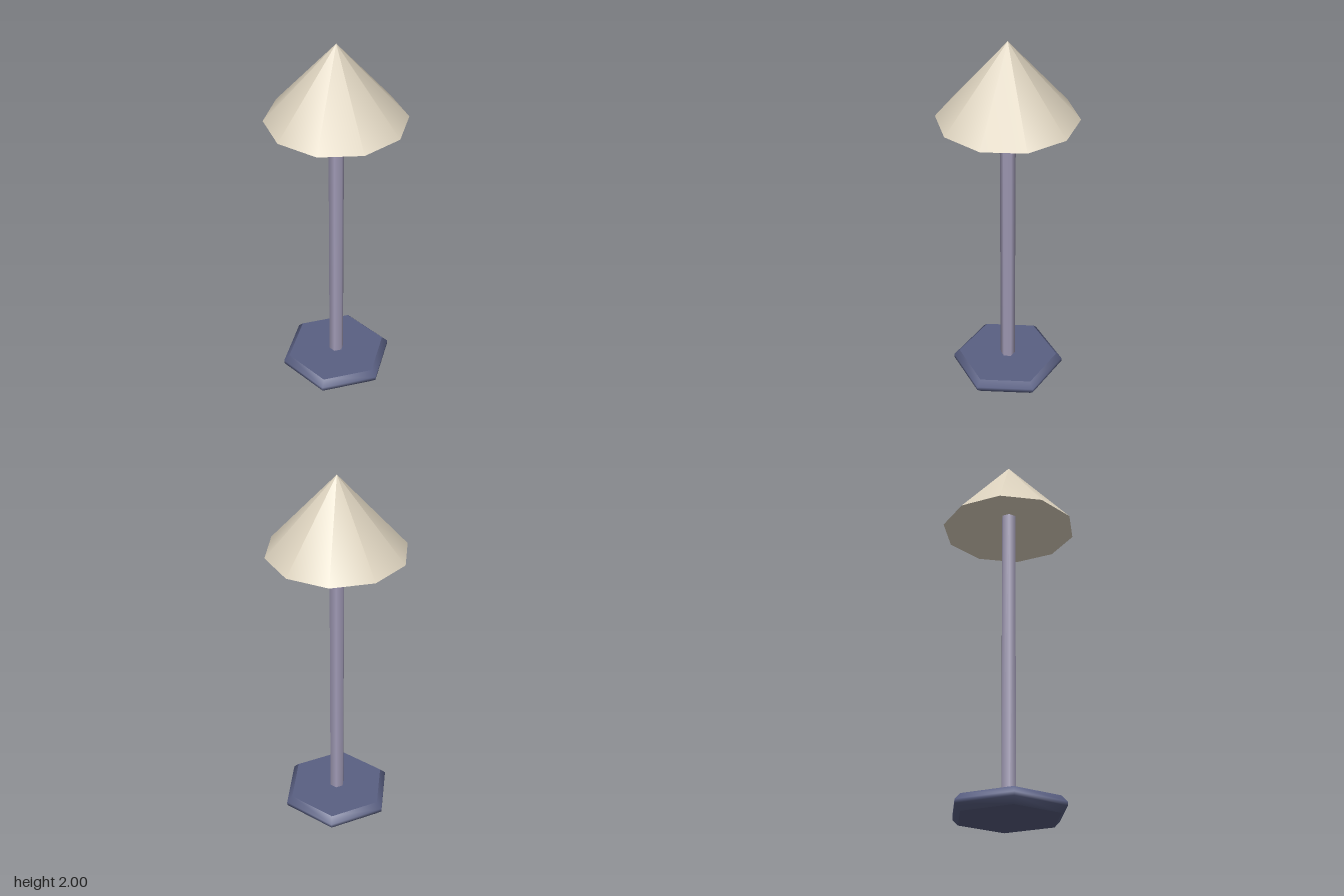
import * as THREE from 'three';

const mat = (name, color, side = THREE.FrontSide) => {
  const m = new THREE.MeshStandardMaterial({ color, side });
  m.name = name;
  return m;
};

export function createModel() {
  const lamp = new THREE.Group();
  lamp.name = 'floorLamp';

  const add = (name, geometry, material, y = 0) => {
    const mesh = new THREE.Mesh(geometry, material);
    mesh.name = name;
    mesh.position.y = y;
    lamp.add(mesh);
  };

  // Hexagonal foot with a softened rim; doubled points keep the faces flat
  const profile = [
    [0, 0], [0.275, 0], [0.275, 0], [0.307, 0.032],
    [0.307, 0.052], [0.275, 0.085], [0.275, 0.085], [0, 0.085],
  ].map(([r, y]) => new THREE.Vector2(r, y));
  add('base', new THREE.LatheGeometry(profile, 6), mat('navy', 0x5a6083));

  // Six-sided pole, ending inside the shade
  const bottom = 0.06, top = 1.68;
  add('pole', new THREE.CylinderGeometry(0.04, 0.04, top - bottom, 6),
    mat('mauve grey', 0xa09ab5), (top + bottom) / 2);

  // Open ten-sided shade
  add('shade', new THREE.ConeGeometry(0.357, 0.403, 10, 1, true),
    mat('cream', 0xdad0bc, THREE.DoubleSide), 2 - 0.403 / 2);

  return lamp;
}
